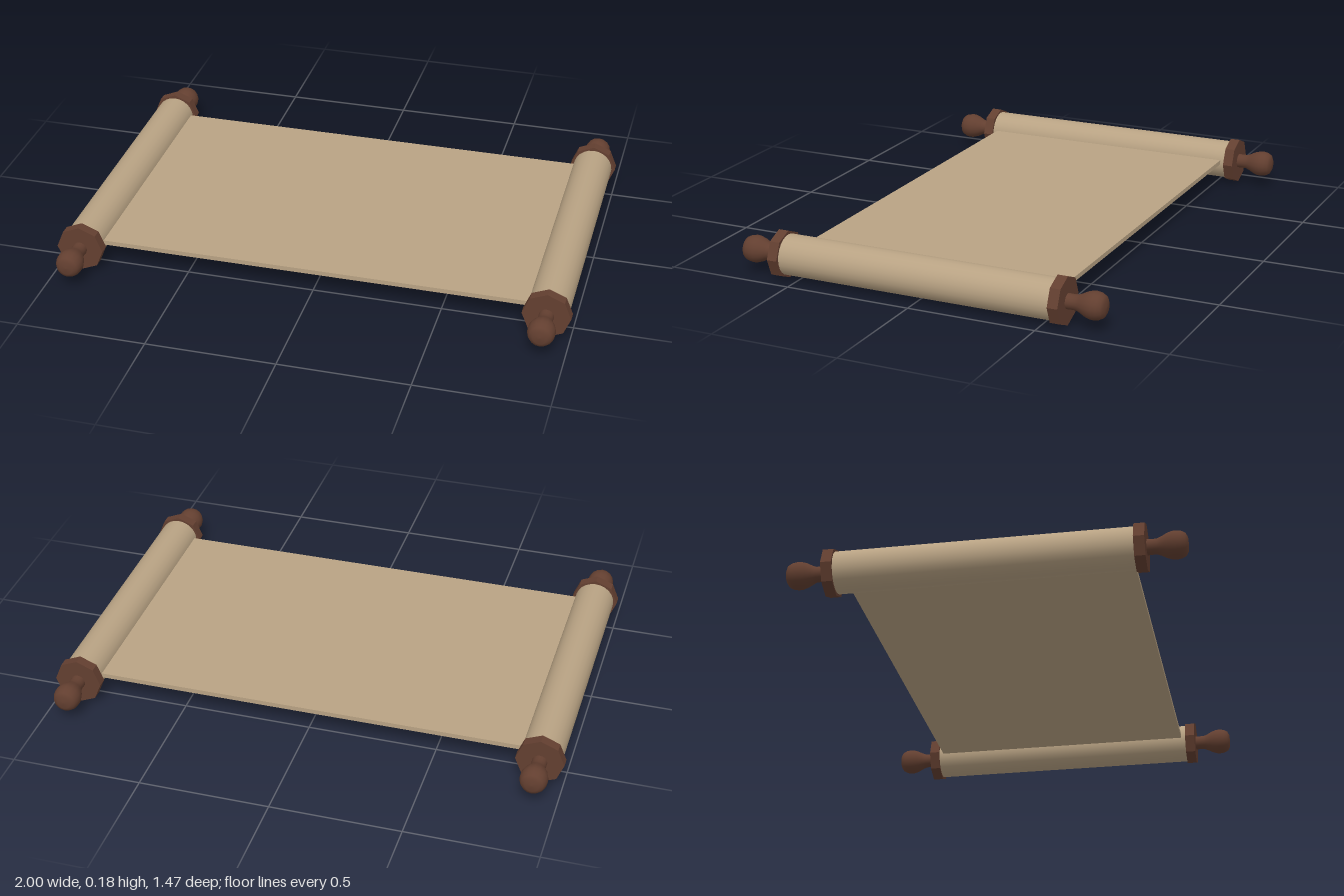
import * as THREE from 'three';

export function createModel() {
  const model = new THREE.Group();
  const parchment = new THREE.MeshStandardMaterial({ color: 0xb8a283 });
  parchment.name = 'parchment';
  const wood = new THREE.MeshStandardMaterial({ color: 0x633f30 });
  wood.name = 'darkWood';
  const woodFlat = wood;

  const AXIS_Y = 0.093;
  const AXIS_X = 0.908;

  const add = (parent, name, geometry, material) => {
    const mesh = new THREE.Mesh(geometry, material);
    mesh.name = name;
    parent.add(mesh);
    return mesh;
  };

  // Open sheet stretched between the two rolls
  add(model, 'sheet', new THREE.BoxGeometry(1.72, 0.018, 1.055), parchment)
    .position.set(0, 0.099, 0);

  // Handle profile: slim neck swelling into a rounded knob
  const handleProfile = [
    [0.029, 0.58], [0.028, 0.605], [0.029, 0.622], [0.035, 0.637], [0.045, 0.656],
    [0.051, 0.675], [0.052, 0.69], [0.049, 0.708], [0.041, 0.723], [0.026, 0.731], [0, 0.733],
  ].map(([r, y]) => new THREE.Vector2(r, y));

  const rollGeometry = new THREE.CylinderGeometry(0.078, 0.078, 1.1, 24).rotateX(Math.PI / 2);
  // Octagonal end plate with hard edges and a corner pointing up
  const capGeometry = new THREE.CylinderGeometry(0.092, 0.092, 0.04, 8)
    .rotateX(Math.PI / 2).toNonIndexed();
  capGeometry.computeVertexNormals();
  const handleGeometry = new THREE.LatheGeometry(handleProfile, 16).rotateX(Math.PI / 2);

  for (const side of [1, -1]) {
    const roller = new THREE.Group();
    roller.name = side > 0 ? 'leftRoller' : 'rightRoller';
    roller.position.set(side * AXIS_X, AXIS_Y, 0);
    model.add(roller);
    add(roller, 'roll', rollGeometry, parchment);

    // Matching end plate and handle at the front and back
    for (const end of [0, 1]) {
      const tip = new THREE.Group();
      tip.name = end ? 'backEnd' : 'frontEnd';
      tip.rotation.y = end * Math.PI;
      roller.add(tip);
      add(tip, 'endPlate', capGeometry, woodFlat).position.z = 0.565;
      add(tip, 'handle', handleGeometry, wood);
    }
  }
  return model;
}
